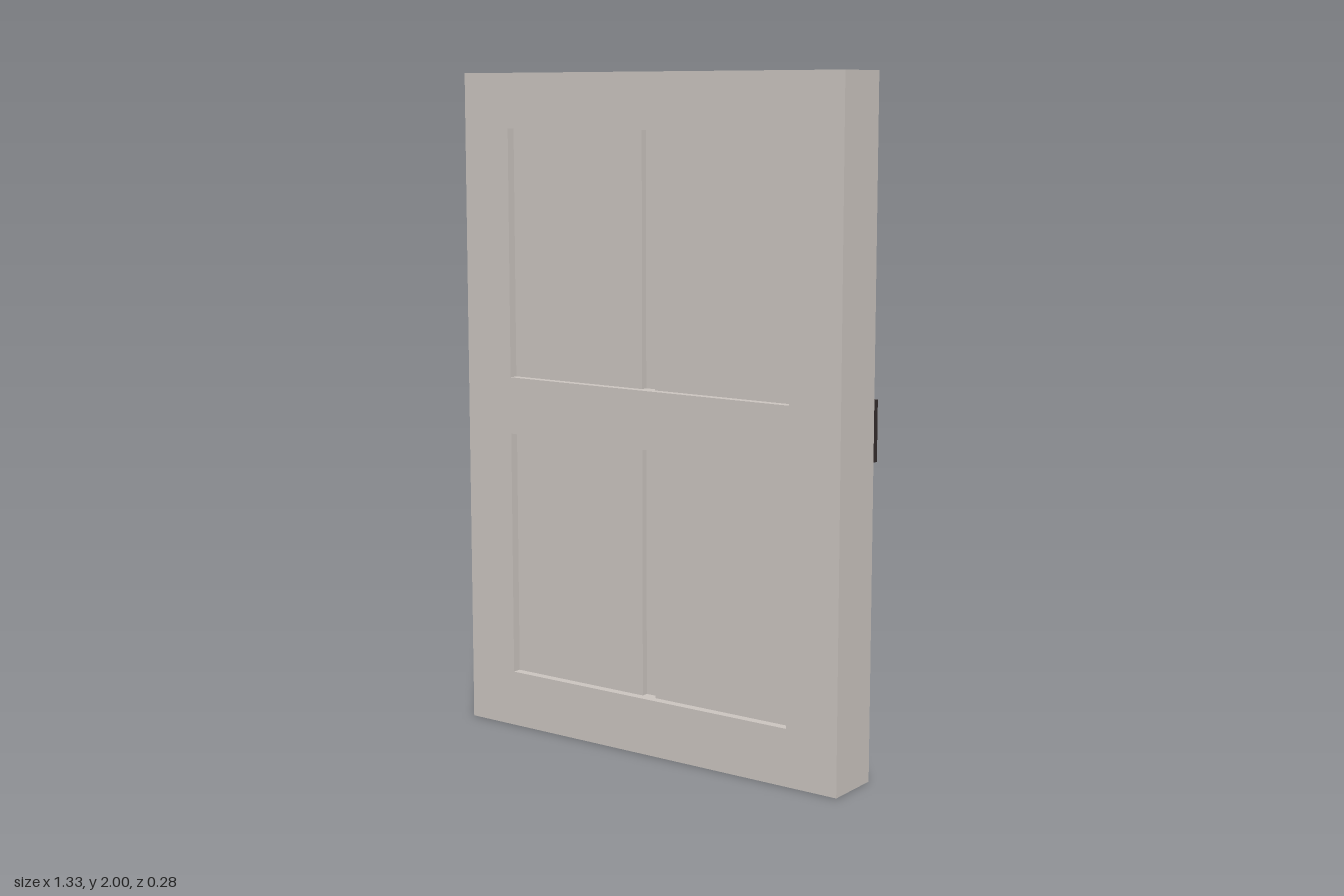
import * as THREE from 'three';

export function createModel() {
  const door = new THREE.Group();
  door.name = 'door';
  const paint = new THREE.MeshStandardMaterial({ color: 0xc9c3be });
  paint.name = 'pale grey paint';
  const iron = new THREE.MeshStandardMaterial({ color: 0x342c2c });
  iron.name = 'dark iron';

  // Box given by its limits on each axis
  function box(name, material, [x0, x1], [y0, y1], [z0, z1]) {
    const mesh = new THREE.Mesh(new THREE.BoxGeometry(x1 - x0, y1 - y0, z1 - z0), material);
    mesh.position.set((x0 + x1) / 2, (y0 + y1) / 2, (z0 + z1) / 2);
    mesh.name = name;
    door.add(mesh);
  }

  function rectangle(path, x0, x1, y0, y1) {
    path.moveTo(x0, y0);
    path.lineTo(x1, y0);
    path.lineTo(x1, y1);
    path.lineTo(x0, y1);
    path.closePath();
    return path;
  }

  const back = -0.04, front = 0.137;
  const openings = [['lower', 0.17, 0.917], ['upper', 1.09, 1.837]];

  // Frame with two openings
  const outline = rectangle(new THREE.Shape(), -0.667, 0.667, 0, 2);
  for (const [, y0, y1] of openings) outline.holes.push(rectangle(new THREE.Path(), -0.5, 0.5, y0, y1));
  const frame = new THREE.Mesh(
    new THREE.ExtrudeGeometry(outline, { depth: front - back, bevelEnabled: false }), paint);
  frame.position.z = back;
  frame.name = 'frame';
  door.add(frame);

  // Recessed panels, with a groove between each pair
  for (const [level, y0, y1] of openings) {
    const inset = [back + 0.027, front - 0.027];
    box(level + 'RightPanel', paint, [-0.5, -0.023], [y0, y1], inset);
    box(level + 'LeftPanel', paint, [0.023, 0.5], [y0, y1], inset);
    box(level + 'Groove', paint, [-0.023, 0.023], [y0, y1], [back + 0.047, front - 0.047]);
  }

  // Lock on the back: bolts, end brackets, case and knob
  for (const [side, s] of [['left', 1], ['right', -1]]) {
    const span = (a, b) => (s > 0 ? [a, b] : [-b, -a]);
    box(side + 'Bolt', iron, span(0.22, 0.505), [0.943, 1.063], [-0.087, back]);
    box(side + 'Bracket', iron, span(0.503, 0.645), [0.915, 1.092], [-0.097, back]);
  }
  box('lockCase', paint, [-0.223, 0.223], [0.87, 1.135], [-0.107, back]);
  box('lockKnob', iron, [-0.09, 0.09], [0.937, 1.07], [-0.14, -0.107]);

  return door;
}
